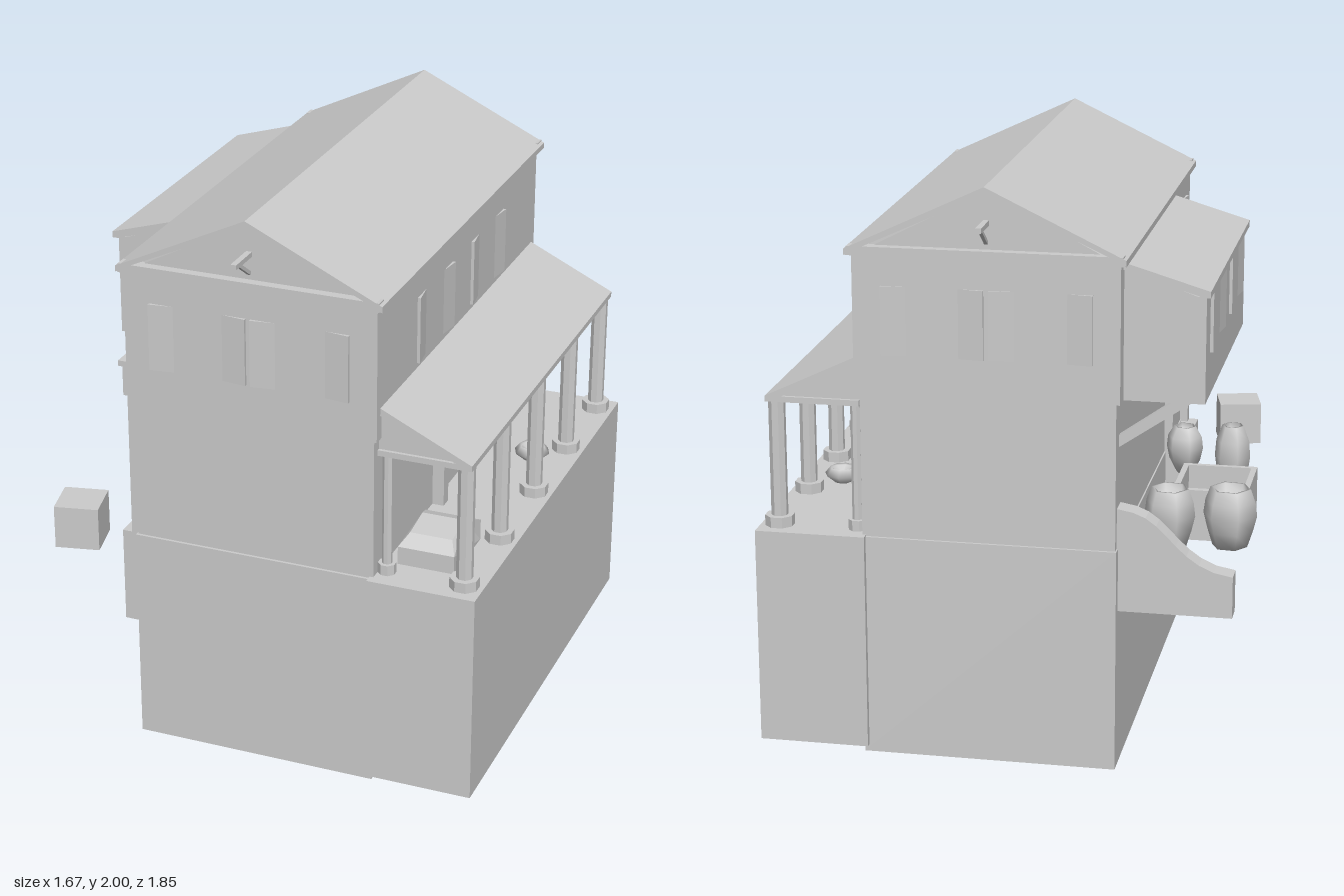
import * as THREE from 'three';

const grey = new THREE.MeshStandardMaterial({ color: 0xcccccc, side: THREE.DoubleSide });

export function createModel() {
  const model = new THREE.Group();

  const add = (name, geometry) => {
    const mesh = new THREE.Mesh(geometry, grey);
    mesh.name = name;
    model.add(mesh);
    return mesh;
  };
  const box = (name, x0, x1, y0, y1, z0, z1) => {
    const mesh = add(name, new THREE.BoxGeometry(x1 - x0, y1 - y0, z1 - z0));
    mesh.position.set((x0 + x1) / 2, (y0 + y1) / 2, (z0 + z1) / 2);
    return mesh;
  };
  // box without its bottom face
  const shell = (name, ...limits) => {
    const { geometry } = box(name, ...limits);
    const index = Array.from(geometry.index.array);
    index.splice(18, 6);
    geometry.setIndex(index);
    geometry.clearGroups();
  };
  // outline in x and y, extruded along z
  const prism = (name, points, z0, z1) => {
    const shape = new THREE.Shape(points.map(p => new THREE.Vector2(...p)));
    const geometry = new THREE.ExtrudeGeometry(shape, { depth: z1 - z0, bevelEnabled: false });
    return add(name, geometry.translate(0, 0, z0));
  };
  // square bar between two points
  const bar = (name, a, b, width) => {
    const from = new THREE.Vector3(...a), to = new THREE.Vector3(...b);
    const mesh = add(name, new THREE.BoxGeometry(width, width, from.distanceTo(to)));
    mesh.position.copy(from).lerp(to, 0.5);
    mesh.lookAt(to);
  };
  const lathe = (name, points, sides, x, y, z) => {
    const mesh = add(name, new THREE.LatheGeometry(points.map(p => new THREE.Vector2(...p)), sides));
    mesh.position.set(x, y, z);
    return mesh;
  };

  // Main walls
  shell('lowerWalls', -0.4, 0.47, 0, 0.78, -0.808, 0.808);
  box('middleWalls', -0.395, 0.468, 0.78, 1.29, -0.798, 0.798);
  box('upperWalls', -0.41, 0.483, 1.29, 1.76, -0.815, 0.815);

  // Main roof with recessed gables
  prism('roof', [[-0.43, 1.757], [-0.43, 1.778], [0.035, 2], [0.505, 1.778], [0.505, 1.757],
    [0.47, 1.775], [0.035, 1.975], [-0.4, 1.775]], -0.833, 0.833);
  prism('gableWall', [[-0.4, 1.757], [0.035, 1.98], [0.47, 1.757]], -0.8, 0.8);
  for (const s of [-1, 1]) {
    box('gableCornice', -0.42, 0.495, 1.757, 1.788, Math.min(s * 0.79, s * 0.833), Math.max(s * 0.79, s * 0.833));
    // Hoist beam
    box('hoistBeam', 0.025, 0.045, 1.868, 1.885, Math.min(s * 0.78, s * 0.925), Math.max(s * 0.78, s * 0.925));
    bar('hoistStrut', [0.035, 1.872, s * 0.89], [0.035, 1.81, s * 0.8], 0.012);
  }
  for (const x of [-0.425, 0.475]) box('eave', x, x + 0.025, 1.757, 1.78, -0.83, 0.83);

  // Windows with a pair of slightly opened shutters
  const addWindow = (x, y, z, turn, width = 0.345, height = 0.235) => {
    const group = new THREE.Group();
    group.name = 'window';
    for (const s of [-1, 1]) {
      const leaf = new THREE.Shape([[0.085, 0], [0, 0], [0, 0.011]]
        .map(([u, out]) => new THREE.Vector2(s * (width / 2 - u), -out)));
      const geometry = new THREE.ExtrudeGeometry(leaf, { depth: height, bevelEnabled: false });
      const mesh = new THREE.Mesh(geometry.rotateX(-Math.PI / 2), grey);
      mesh.name = 'shutter';
      group.add(mesh);
    }
    group.position.set(x, y, z);
    group.rotation.y = turn;
    model.add(group);
  };
  for (const x of [-0.147, 0.215]) {
    addWindow(x, 1.42, 0.815, 0);
    addWindow(x, 1.42, -0.815, Math.PI);
  }
  for (const z of [0.272, -0.268]) addWindow(0.483, 1.42, z, Math.PI / 2);
  for (const z of [-0.48, 0.03]) addWindow(-0.68, 1.44, z, -Math.PI / 2, 0.34, 0.2);
  addWindow(-0.41, 1.48, 0.56, -Math.PI / 2, 0.3, 0.19);

  // Terrace
  shell('terrace', 0.455, 0.835, 0.025, 0.785, -0.83, 0.83);
  box('terracePartition', 0.46, 0.83, 0.025, 0.78, 0, 0.01);

  // Terrace columns with octagonal bases
  const column = (x, z, r) => {
    const base = lathe('columnBase', [[0, 0], [1.75 * r, 0], [1.75 * r, 0.037], [0, 0.037]], 8, x, 0.785, z);
    base.geometry = base.geometry.toNonIndexed();
    base.geometry.computeVertexNormals();
    base.rotation.y = Math.PI / 8;
    const shaft = add('columnShaft', new THREE.CylinderGeometry(r, r, 0.42, 8).toNonIndexed());
    shaft.geometry.computeVertexNormals();
    shaft.position.set(x, 1.025, z);
    shaft.rotation.y = Math.PI / 8;
  };
  for (const z of [0.745, 0.383, 0.005, -0.372, -0.745]) column(0.77, z, 0.029);
  for (const z of [0.745, -0.745]) column(0.497, z, 0.018);
  for (const z of [0.2, -0.14]) box('wallPost', 0.465, 0.51, 0.785, 1.26, z - 0.023, z + 0.023);

  // Terrace roof
  prism('terraceRoof', [[0.475, 1.405], [0.8, 1.25], [0.8, 1.23], [0.775, 1.235], [0.475, 1.378]], -0.785, 0.785);
  box('terraceRoofBeam', 0.745, 0.8, 1.23, 1.25, -0.785, 0.785);
  for (const s of [-1, 1]) {
    const z = s * 0.765;
    box('terraceTieBeam', 0.475, 0.8, 1.23, 1.25, z - 0.02, z + 0.02);
    prism('terraceGable', [[0.475, 1.24], [0.475, 1.39], [0.78, 1.24]], z - 0.008, z + 0.008);
  }

  // Projecting bay with lean-to roof and braces
  box('bay', -0.68, -0.4, 1.29, 1.65, -0.75, 0.3);
  prism('bayGable', [[-0.68, 1.64], [-0.4, 1.64], [-0.4, 1.74]], -0.75, 0.3);
  prism('bayRoof', [[-0.695, 1.65], [-0.695, 1.672], [-0.4, 1.76], [-0.4, 1.735], [-0.675, 1.65]], -0.765, 0.317);
  for (const z of [-0.74, 0.26])
    prism('bayBrace', [[-0.64, 1.292], [-0.575, 1.292], [-0.395, 1.165], [-0.395, 1.125]], z, z + 0.03);

  // Side balcony: parapet, posts and upper rail
  box('balconyParapet', -0.46, -0.39, 0.43, 0.775, 0.33, 0.785);
  for (const z of [0.35, 0.765]) {
    box('balconyPost', -0.425, -0.392, 0.77, 1.3, z - 0.02, z + 0.02);
    box('railPost', -0.44, -0.405, 1.29, 1.4, z - 0.02, z + 0.02);
  }
  box('railTop', -0.455, -0.405, 1.395, 1.415, 0.33, 0.785);
  box('railFoot', -0.44, -0.405, 1.29, 1.31, 0.33, 0.785);

  // Curved side wall
  const wing = new THREE.Shape();
  wing.moveTo(-0.395, 0.56);
  wing.lineTo(-0.395, 0.92);
  wing.lineTo(-0.45, 0.91);
  wing.bezierCurveTo(-0.57, 0.88, -0.6, 0.72, -0.785, 0.705);
  wing.lineTo(-0.785, 0.56);
  add('curvedWall', new THREE.ExtrudeGeometry(wing, { depth: 0.075, bevelEnabled: false, curveSegments: 8 })
    .translate(0, 0, -0.77));

  // Jars
  const jar = (x, y, z, r, h, foot, mouth) => {
    const mesh = lathe('jar', [[0, 0], [foot * r, 0], [0.85 * r, 0.28 * h], [r, 0.55 * h], [0.93 * r, 0.78 * h],
      [mouth * r, h], [(mouth - 0.1) * r, h], [0.6 * r, 0.85 * h], [0, 0.8 * h]], 6, x, y, z);
    mesh.rotation.y = 0.42;
  };
  jar(-0.745, 0.735, -0.537, 0.093, 0.205, 0.65, 0.75);
  jar(-0.545, 0.735, -0.575, 0.088, 0.205, 0.65, 0.75);
  jar(-0.675, 0.71, 0.105, 0.065, 0.255, 0.45, 0.6);
  jar(-0.485, 0.74, 0.23, 0.068, 0.175, 0.45, 0.6);

  // Open crate
  box('crateFloor', -0.79, -0.53, 0.705, 0.8, -0.42, -0.12);
  for (const x of [-0.79, -0.55]) box('crateSide', x, x + 0.02, 0.705, 0.885, -0.42, -0.12);
  for (const z of [-0.42, -0.14]) box('crateEnd', -0.79, -0.53, 0.705, 0.885, z, z + 0.02);

  // Loose block
  box('block', -0.695, -0.54, 0.71, 0.865, 0.705, 0.86).rotation.y = 0.22;

  // Sack and bowl on the terrace
  const sack = prism('sack', [[-0.68, 0.785], [-0.68, 0.85], [-0.63, 0.885], [-0.51, 0.902], [-0.41, 0.86], [-0.41, 0.785]], -0.1, 0.1);
  const p = sack.geometry.attributes.position;
  for (let i = 0; i < p.count; i++) if (p.getY(i) > 0.87) p.setZ(i, p.getZ(i) * 0.75);
  sack.geometry.computeVertexNormals();
  sack.rotation.y = Math.PI / 2;
  sack.position.x = 0.61;
  lathe('bowl', [[0, 0], [0.03, 0], [0.065, 0.03], [0.045, 0.055], [0.038, 0.05], [0, 0.02]], 8, 0.68, 0.785, -0.25);

  return model;
}
